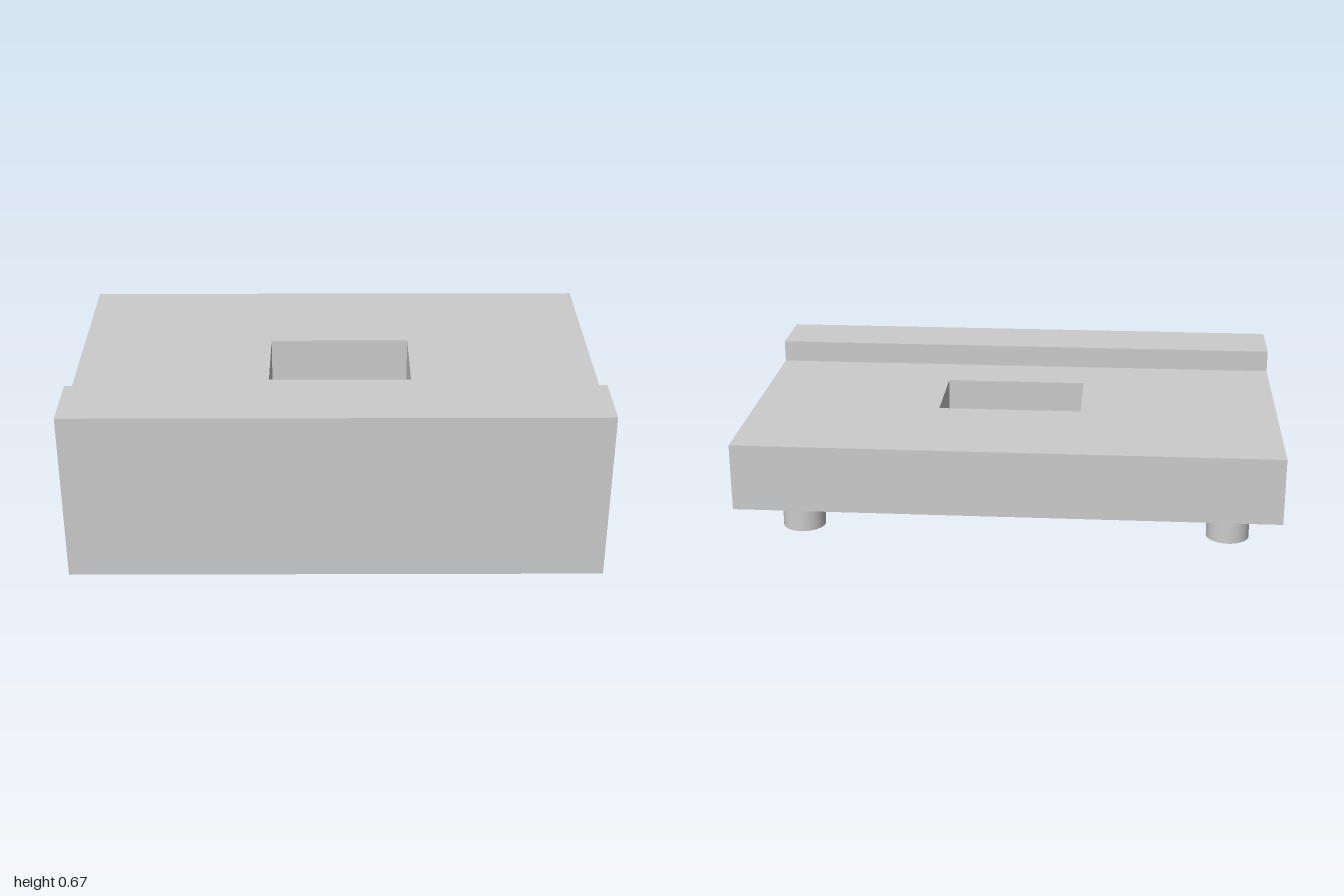
import * as THREE from 'three';

const material = new THREE.MeshStandardMaterial({ color: 0xcccccc });

function addPart(group, name, geometry, x, y, z) {
  const mesh = new THREE.Mesh(geometry, material);
  mesh.name = name;
  mesh.position.set(x, y, z);
  group.add(mesh);
  return mesh;
}

function rectangle(PathType, x0, y0, x1, y1) {
  return new PathType().moveTo(x0, y0).lineTo(x1, y0).lineTo(x1, y1).lineTo(x0, y1).closePath();
}

export function createModel() {
  const group = new THREE.Group();
  group.name = 'slottedBracket';

  // Horizontal plate with a rectangular window; shape y becomes -z
  const outline = rectangle(THREE.Shape, -1, -0.375, 1, 0.625);
  outline.holes.push(rectangle(THREE.Path, -0.255, -0.167, 0.288, 0.17));
  const plate = new THREE.ExtrudeGeometry(outline, { depth: 0.25, bevelEnabled: false });
  plate.rotateX(-Math.PI / 2);
  addPart(group, 'plate', plate, 0, 0.333, 0);

  // Upright front wall, rising slightly above the plate
  addPart(group, 'frontWall', new THREE.BoxGeometry(2, 0.667, 0.25), 0, 0.3335, 0.5);

  // Round pegs under the plate
  for (const side of [1, -1]) {
    const peg = new THREE.CylinderGeometry(0.083, 0.083, 0.25, 32);
    addPart(group, side > 0 ? 'leftPeg' : 'rightPeg', peg, side * 0.835, 0.208, -0.166);
  }
  return group;
}
